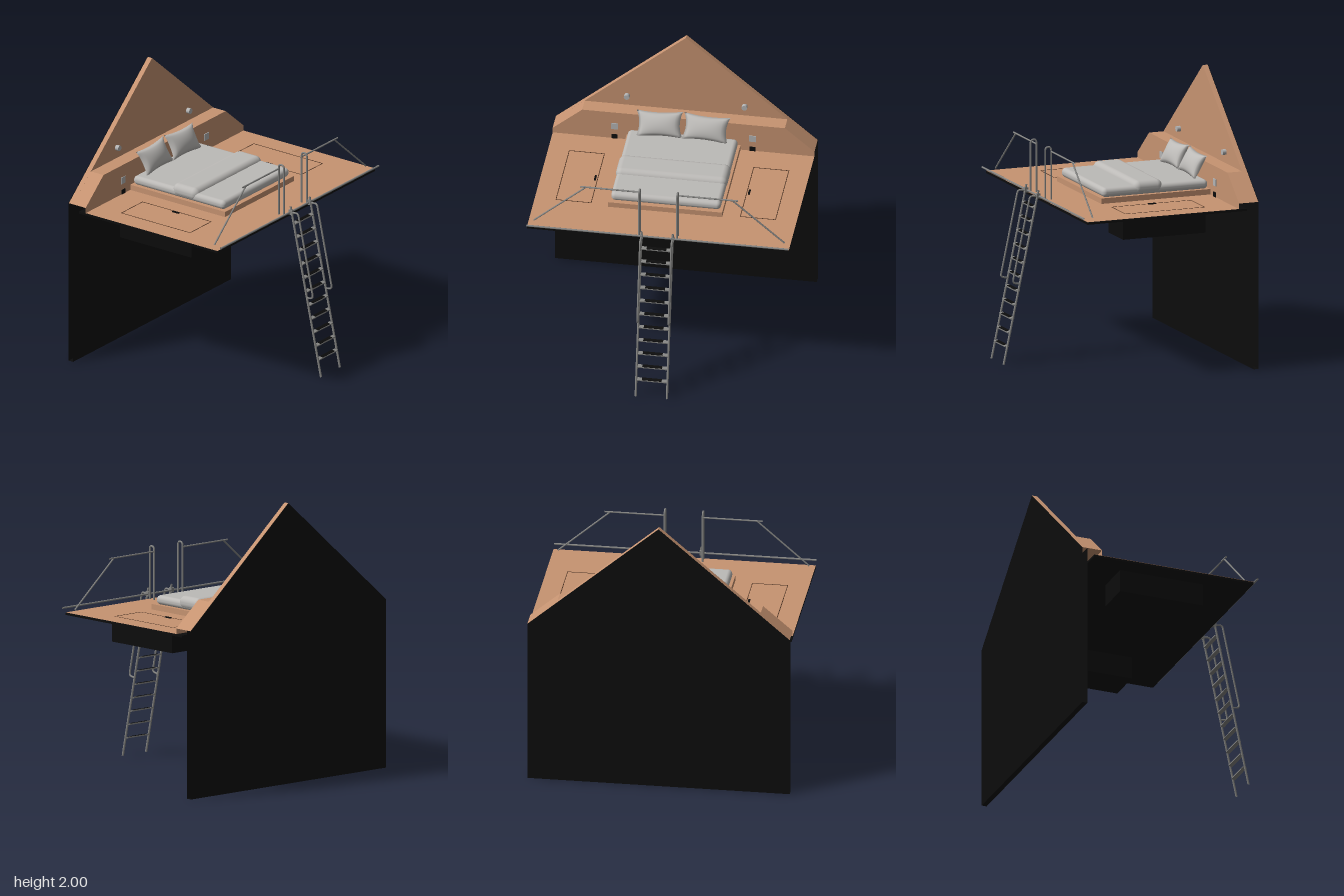
import * as THREE from 'three';
import { mergeVertices } from 'three/addons/utils/BufferGeometryUtils.js';
import { RoundedBoxGeometry } from 'three/addons/geometries/RoundedBoxGeometry.js';

const material = (name, color, side = THREE.FrontSide) => {
  const m = new THREE.MeshStandardMaterial({ color, side });
  m.name = name;
  return m;
};
const wood = material('wood', 0xc69371, THREE.DoubleSide);
const black = material('black', 0x0c0c0c, THREE.DoubleSide);
const linen = material('linen', 0xbcbab7);
const metal = material('metal', 0x858583, THREE.DoubleSide);
const fitting = material('fitting', 0xb4b4b4);
const groove = material('groove', 0x4f3524);

export function createModel() {
  const root = new THREE.Group();
  const add = (name, geometry, mat, x = 0, y = 0, z = 0, parent = root) => {
    const mesh = new THREE.Mesh(geometry, mat);
    mesh.name = name;
    mesh.position.set(x, y, z);
    parent.add(mesh);
    return mesh;
  };
  // Box given by its minimum and maximum corners
  const block = (name, mat, [x0, y0, z0], [x1, y1, z1], parent) =>
    add(name, new THREE.BoxGeometry(x1 - x0, y1 - y0, z1 - z0), mat,
      (x0 + x1) / 2, (y0 + y1) / 2, (z0 + z1) / 2, parent);
  const outline = (points) => new THREE.Shape(points.map(([x, y]) => new THREE.Vector2(x, y)));
  const slab = (name, points, z0, z1, mat) => add(name,
    new THREE.ExtrudeGeometry(outline(points), { depth: z1 - z0, bevelEnabled: false }), mat, 0, 0, z0);
  // Bent pipe through points, with rounded corners
  const pipe = (name, points, radius, bend, parent = root) => {
    const p = points.map((a) => new THREE.Vector3(...a));
    const path = new THREE.CurvePath();
    let from = p[0];
    for (let i = 1; i < p.length - 1; i++) {
      const toward = (q) => p[i].clone().add(q.clone().sub(p[i]).setLength(bend));
      const a = toward(p[i - 1]), b = toward(p[i + 1]);
      path.add(new THREE.LineCurve3(from, a));
      path.add(new THREE.QuadraticBezierCurve3(a, p[i], b));
      from = b;
    }
    path.add(new THREE.LineCurve3(from, p[p.length - 1]));
    return add(name, new THREE.TubeGeometry(path, p.length > 2 ? 64 : 1, radius, 8), metal, 0, 0, 0, parent);
  };

  // Gable wall: wooden upper part, dark lower part and back
  const W = 0.93;
  slab('gablePanel', [[-W, 1.2], [W, 1.2], [0, 2]], -0.797, -0.76, wood);
  add('wallBack', new THREE.ShapeGeometry(outline([[-W, 0], [W, 0], [W, 1.2], [0, 2], [-W, 1.2]])),
    black, 0, 0, -0.8);
  add('lowerWallFront', new THREE.PlaneGeometry(2 * W, 1.2), black, 0, 0.6, -0.762);
  add('lowerWallBase', new THREE.PlaneGeometry(2 * W, 0.038), black, 0, 0.001, -0.781).rotation.x = Math.PI / 2;

  // Headboard ledge following the gable slope
  slab('headboardLedge', [[-W, 1.2], [W, 1.2], [0.72, 1.38], [-0.72, 1.38]], -0.65, -0.65, wood).geometry.dispose();
  root.remove(root.getObjectByName('headboardLedge'));
  slab('headboard', [[-W, 1.2], [W, 1.2], [0.72, 1.38], [-0.72, 1.38]], -0.765, -0.65, wood);
  add('headboardSkirt', new THREE.PlaneGeometry(2 * W, 0.04), wood, 0, 1.18, -0.65);

  // Loft floor
  block('floorSlab', black, [-W, 1.143, -0.71], [W, 1.158, 0.5]);
  add('floorTop', new THREE.PlaneGeometry(2 * W, 1.15), wood, 0, 1.161, -0.075).rotation.x = -Math.PI / 2;

  // Bed
  block('bedBase', wood, [-0.405, 1.161, -0.65], [0.405, 1.2, 0.178]);
  add('mattress', new RoundedBoxGeometry(0.78, 0.066, 0.8, 4, 0.03), linen, 0, 1.231, -0.242);
  add('blanket', new RoundedBoxGeometry(0.792, 0.095, 0.22, 4, 0.044), linen, 0, 1.2465, -0.19);

  // Pillows: a grid pinched at the edges and puffed in the middle
  const pillow = new THREE.BoxGeometry(2, 2, 2, 16, 16, 1);
  pillow.deleteAttribute('normal');
  pillow.deleteAttribute('uv');
  const pos = pillow.attributes.position;
  for (let i = 0; i < pos.count; i++) {
    const u = pos.getX(i), v = pos.getY(i), side = Math.sign(pos.getZ(i));
    const puff = Math.sqrt(Math.max(0, (1 - u * u) * (1 - v * v)));
    pos.setXYZ(i, 0.165 * u * (1 - 0.13 * (1 - v * v)), 0.095 * v * (1 - 0.14 * (1 - u * u)), side * 0.042 * puff);
  }
  const pillowGeometry = mergeVertices(pillow, 1e-5);
  pillowGeometry.computeVertexNormals();

  for (const s of [-1, 1]) {
    const p = add('pillow', pillowGeometry, linen, s * 0.165, 1.345, -0.612);
    p.rotation.set(-0.5, 0, s * -0.04);

    // Reading lamp and switch plate
    add('readingLamp', new THREE.CylinderGeometry(0.02, 0.02, 0.03, 20), fitting, s * 0.418, 1.46, -0.747)
      .rotation.x = Math.PI / 2;
    add('switchPlate', new THREE.BoxGeometry(0.05, 0.05, 0.006), fitting, s * 0.49, 1.265, -0.648);
    block('floorBracket', black, [s * 0.49 - 0.02, 1.1, -0.656], [s * 0.49 + 0.02, 1.195, -0.645]);

    // Storage bin below the floor, with its hatch outline and handle
    block('storageBin', black, [s * 0.655 - 0.135, 0.98, -0.455], [s * 0.655 + 0.135, 1.145, 0.172]);
    for (const e of [-1, 1]) {
      add('hatchSideGap', new THREE.BoxGeometry(0.005, 0.003, 0.6), groove, s * 0.655 + e * 0.125, 1.161, -0.15);
      add('hatchEndGap', new THREE.BoxGeometry(0.25, 0.003, 0.005), groove, s * 0.655, 1.161, -0.15 + e * 0.3);
    }
    add('hatchHandle', new THREE.BoxGeometry(0.013, 0.008, 0.055), black, s * 0.547, 1.165, -0.147);

    // Guard rail: hoop beside the ladder, top bar and sloping bar
    pipe('guardHoop', [[s * 0.135, 1.15, 0.492], [s * 0.135, 1.54, 0.492], [s * 0.135, 1.54, 0.447],
      [s * 0.135, 1.15, 0.447]], 0.007, 0.022);
    pipe('guardTopBar', [[s * 0.135, 1.505, 0.445], [s * 0.56, 1.505, 0.445]], 0.006, 0);
    pipe('guardSlopeBar', [[s * 0.52, 1.505, 0.445], [s * 0.89, 1.182, 0.445]], 0.006, 0);
  }

  // Bar along the floor edge that carries the ladder
  pipe('ladderBar', [[-W, 1.188, 0.53], [W, 1.188, 0.53]], 0.007, 0);

  // Ladder
  const ladder = new THREE.Group();
  ladder.name = 'ladder';
  root.add(ladder);
  const railZ = (y) => 0.798 - 0.215 * y;
  for (const s of [-1, 1]) {
    const x = s * 0.111;
    pipe('ladderRail', [[x, 0, railZ(0)], [x, 1.23, railZ(1.23)]], 0.008, 0, ladder);
    pipe('ladderHandrail', [[x, 1.185, 0.535], [x, 1.195, 0.598], [x, 0.58, 0.73], [x, 0.57, 0.675]],
      0.007, 0.022, ladder);
    block('ladderHook', metal, [x - 0.01, 1.172, 0.522], [x + 0.01, 1.208, 0.55], ladder);
  }
  for (let i = 0; i < 11; i++) {
    const y = 0.128 + i * 0.098;
    const tread = new THREE.Group();
    tread.name = 'tread';
    tread.position.set(0, y, railZ(y));
    tread.rotation.x = 0.2;
    ladder.add(tread);
    add('treadPlate', new THREE.BoxGeometry(0.21, 0.009, 0.028), metal, 0, 0, 0, tread);
    add('treadGrip', new THREE.BoxGeometry(0.14, 0.004, 0.024), black, 0, 0.006, 0, tread);
  }
  return root;
}
